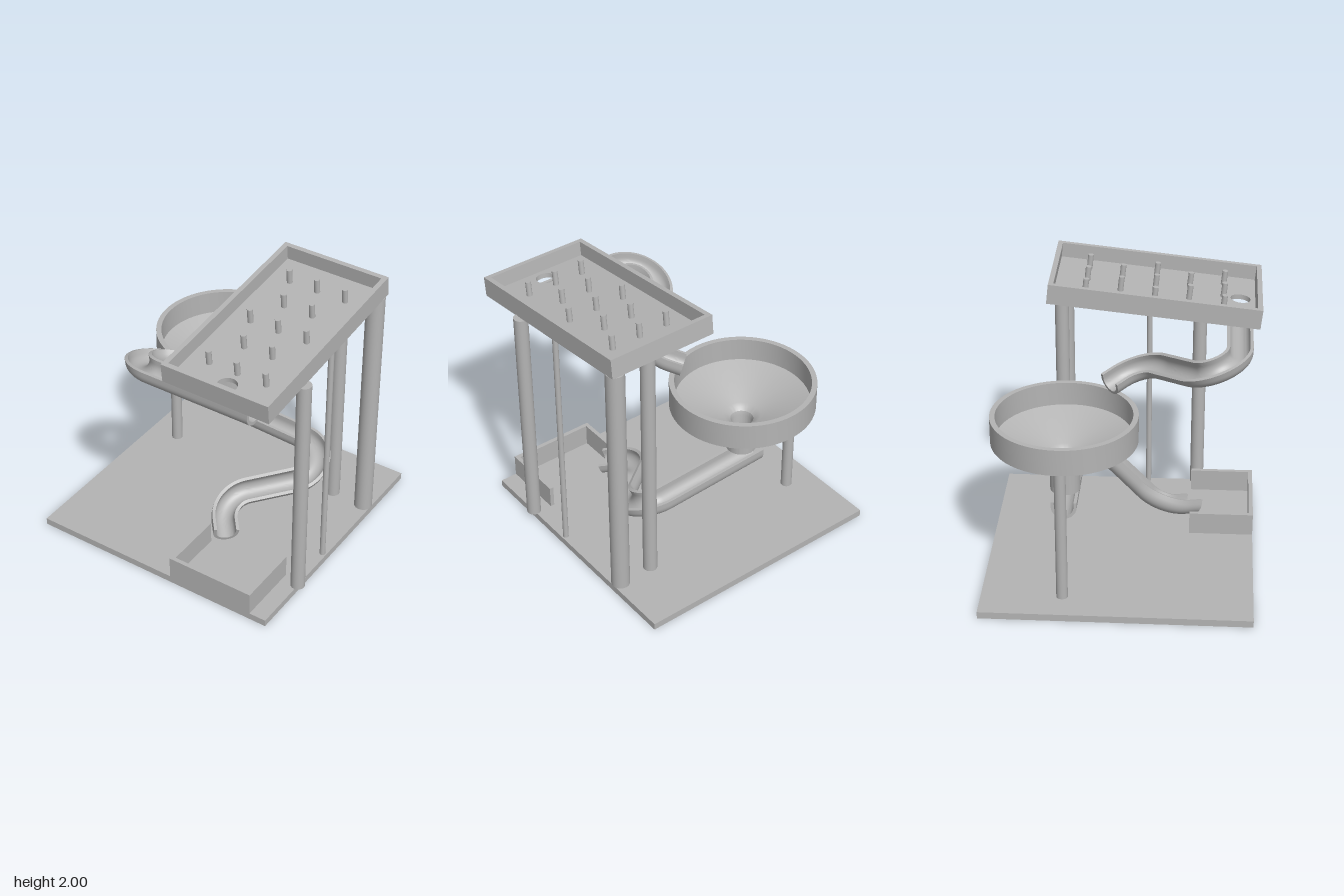
import * as THREE from 'three';
import { toCreasedNormals } from 'three/addons/utils/BufferGeometryUtils.js';

const grey = new THREE.MeshStandardMaterial({ color: 0xb4b4b4 });
grey.name = 'plain grey';

function part(name, geometry, x = 0, y = 0, z = 0) {
  const mesh = new THREE.Mesh(geometry, grey);
  mesh.name = name;
  mesh.position.set(x, y, z);
  return mesh;
}

// Box given by its limits on each axis
function block(name, [x0, x1], [y0, y1], [z0, z1]) {
  return part(name, new THREE.BoxGeometry(x1 - x0, y1 - y0, z1 - z0),
    (x0 + x1) / 2, (y0 + y1) / 2, (z0 + z1) / 2);
}

// Upright round post between two heights
function post(name, x, z, radius, top, bottom = 0.05) {
  return part(name, new THREE.CylinderGeometry(radius, radius, top - bottom, 32), x, (top + bottom) / 2, z);
}

function rectangle(w, d, Type = THREE.Shape) {
  return new Type([[-w, -d], [w, -d], [w, d], [-w, d]].map(([x, y]) => new THREE.Vector2(x / 2, y / 2)));
}

// Flat shape in x and z, raised from y0 by the given height
function slab(shape, y0, height) {
  const g = new THREE.ExtrudeGeometry(shape, { depth: height, bevelEnabled: false, curveSegments: 32 });
  return g.rotateX(-Math.PI / 2).translate(0, y0, 0);
}

// Sloping tray with rim, pegs and a drop hole
function createTray() {
  const tray = new THREE.Group();
  tray.name = 'pegTray';
  const w = 0.8, d = 1.468, wall = 0.035, cz = 0.2025, tilt = 0.1058;
  const floor = rectangle(w, d);
  floor.holes.push(new THREE.Path().absarc(0, -0.595, 0.07, 0, Math.PI * 2, true));
  tray.add(part('trayFloor', slab(floor, -0.07, wall)));
  const rim = rectangle(w, d);
  rim.holes.push(rectangle(w - 2 * wall, d - 2 * wall, THREE.Path));
  tray.add(part('trayRim', slab(rim, -0.035, 0.105)));
  [-0.28, -0.042, 0.197, 0.435, 0.673].forEach((z, row) => {
    const xs = row % 2 ? [-0.108, 0.108] : [-0.215, 0, 0.215];
    for (const x of xs)
      tray.add(part('peg', new THREE.CylinderGeometry(0.02, 0.02, 0.105, 20), x, 0.0175, (z - cz) / Math.cos(tilt)));
  });
  tray.position.set(0.51, 1.8525, cz);
  tray.rotation.x = tilt;
  return tray;
}

// Funnel bowl with spout
function createFunnel() {
  const profile = [[0.07, 0.645], [0.105, 0.645], [0.105, 0.885], [0.507, 1.03], [0.507, 1.22], [0.47, 1.22],
    [0.47, 1.05], [0.13, 0.925], [0.1, 0.91], [0.08, 0.89], [0.07, 0.86], [0.07, 0.645]];
  const g = new THREE.LatheGeometry(profile.map(([r, y]) => new THREE.Vector2(r, y)), 72);
  return part('funnel', toCreasedNormals(g, 0.45), -0.278, 0, -0.388);
}

// Plan of the winding run: straight, bend, diagonal, reverse bend, short exit
function chutePlan() {
  const rad = Math.PI / 180, plan = new THREE.Path();
  plan.moveTo(0.72, 0.79);
  plan.lineTo(-0.08, 0.79);
  plan.absarc(-0.08, 0.6, 0.19, 90 * rad, 230 * rad, false);
  plan.absarc(-0.075, 0.0995, 0.19, 50 * rad, -41 * rad, true);
  plan.lineTo(0.006, -0.097);
  return plan;
}

// U-shaped channel swept along the plan on a sloping plane
function createChute(name, toPlan, height, slopeX, slopeZ) {
  const plan = chutePlan(), steps = 110, arc = 20;
  const outer = [], inner = [];
  for (const [list, r] of [[outer, 0.09], [inner, 0.068]]) {
    list.push([-r, 0.032]);
    for (let i = 0; i <= arc; i++) {
      const a = Math.PI * (1 + i / arc);
      list.push([r * Math.cos(a), r * Math.sin(a)]);
    }
    list.push([r, 0.032]);
  }
  const m = outer.length, n = 2 * m;
  const ring = [...outer, ...inner.reverse()];

  const points = plan.getSpacedPoints(steps).map((p) => {
    const [x, z] = toPlan(p.x, p.y);
    return new THREE.Vector3(x, height(x, z), z);
  });
  const normal = new THREE.Vector3(-slopeX, 1, -slopeZ).normalize();
  const positions = [], index = [];
  let roll;
  points.forEach((p, i) => {
    const t = points[Math.min(i + 1, steps)].clone().sub(points[Math.max(i - 1, 0)]).normalize();
    const side = t.clone().cross(normal);
    // The channel is level where it starts and keeps that roll
    if (roll === undefined) roll = Math.atan2(side.y, normal.y);
    const c = Math.cos(roll), s = Math.sin(roll);
    const up = normal.clone().multiplyScalar(c).addScaledVector(side, s);
    const right = side.clone().multiplyScalar(c).addScaledVector(normal, -s);
    for (const [u, v] of ring)
      positions.push(...p.clone().addScaledVector(right, u).addScaledVector(up, v).toArray());
  });
  for (let i = 0; i < steps; i++)
    for (let j = 0; j < n; j++) {
      const a = i * n + j, b = i * n + (j + 1) % n;
      index.push(a, a + n, b, b, a + n, b + n);
    }
  // End faces
  const e = steps * n;
  for (let j = 0; j < m - 1; j++) {
    const a = j, b = j + 1, c = n - 2 - j, d = n - 1 - j;
    index.push(a, b, c, a, c, d, e + a, e + c, e + b, e + a, e + d, e + c);
  }
  const g = new THREE.BufferGeometry();
  g.setAttribute('position', new THREE.Float32BufferAttribute(positions, 3));
  g.setIndex(index);
  return part(name, toCreasedNormals(g, 0.6));
}

export function createModel() {
  const model = new THREE.Group();
  model.name = 'marbleRun';
  model.add(block('base', [-0.96, 0.91], [0, 0.05], [-0.94, 0.93]));

  // Posts
  model.add(
    post('frontTrayPost', 0.905, 0.51, 0.05, 1.75),
    post('thinTrayPost', 0.88, 0.142, 0.02, 1.79),
    post('thickTrayPost', 0.85, -0.475, 0.065, 1.856),
    post('backTrayPost', 0.595, -0.475, 0.05, 1.856),
    post('funnelPost', -0.735, -0.38, 0.04, 1.03),
  );

  model.add(createTray(), createFunnel());

  // Two chutes, the lower one turned half round
  model.add(createChute('upperChute', (x, z) => [x, z],
    (x, z) => 1.633 + 0.35 * (z - 0.79), 0, 0.35));
  model.add(createChute('lowerChute', (x, z) => [0.31 - x, 0.4 - z],
    (x, z) => 0.52 - 0.35 * (z + 0.39) - 0.05 * (x - 0.5), -0.05, -0.35));

  // Catch box, open at the back where the chute enters
  const box = new THREE.Group();
  box.name = 'catchBox';
  box.add(
    block('boxFront', [0.13, 0.785], [0.05, 0.215], [0.9, 0.93]),
    block('boxRightWall', [0.13, 0.16], [0.05, 0.215], [0.47, 0.9]),
    block('boxLeftWall', [0.755, 0.785], [0.05, 0.215], [0.47, 0.9]),
  );
  model.add(box);
  return model;
}
